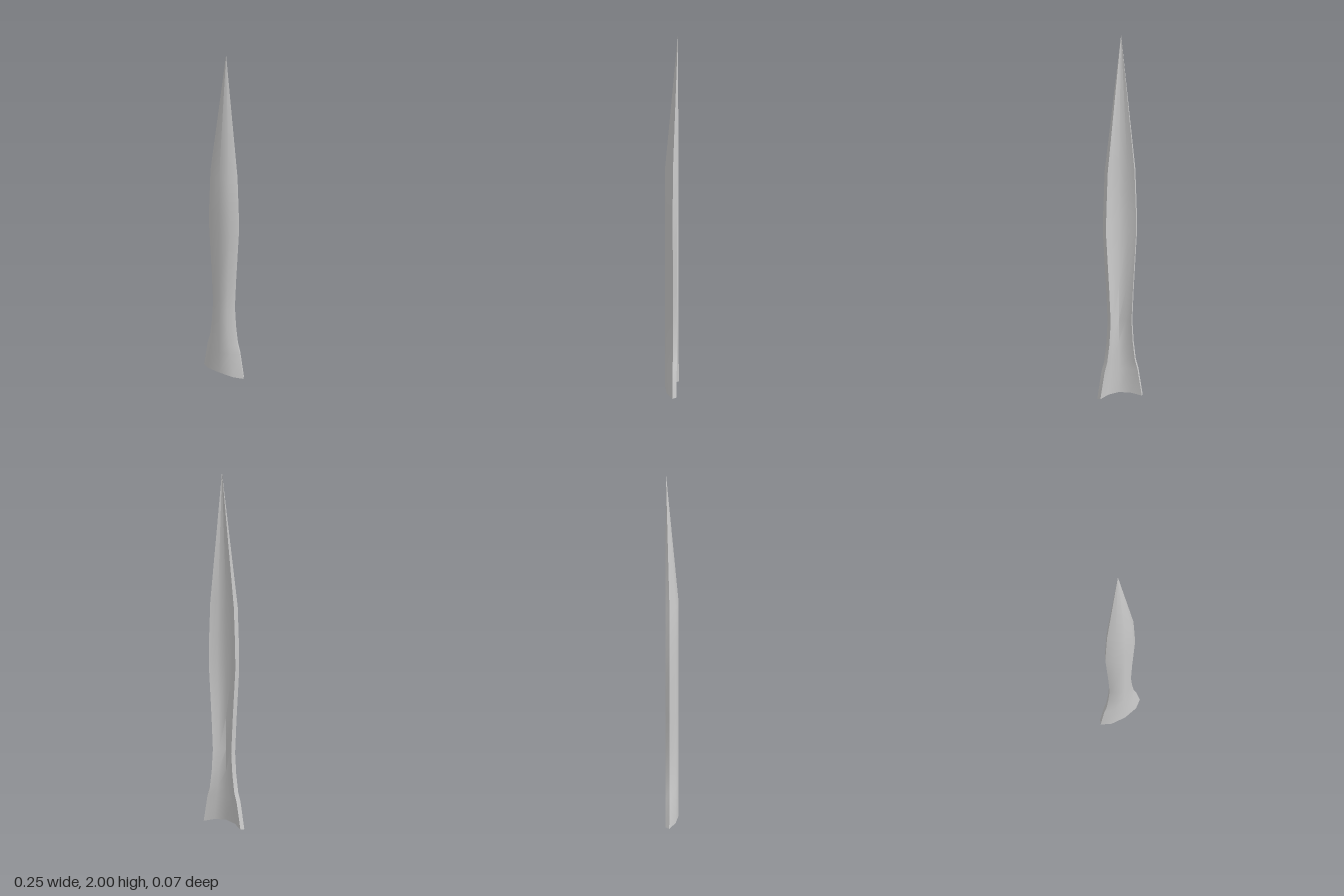
import * as THREE from 'three';
import { toCreasedNormals } from 'three/addons/utils/BufferGeometryUtils.js';

// height and half width of each cross-section, from flared base to shoulder and tip
const SECTIONS = [
  [0, 0.123], [0.15, 0.1], [0.2, 0.086], [0.3, 0.074], [0.42, 0.067],
  [0.6, 0.075], [0.9, 0.092], [1.02, 0.091], [1.25, 0.083], [2, 0.0003],
];
const BACK = -0.034;

// closed outline: ridged front, bevelled edges, hollow back
function outline(w, s) {
  const rim = w - 0.011 * s;
  const half = [[w, -0.012], [w * 0.63, 0.02], [0, 0.033]];
  const hollow = [[rim, -0.033], [w * 0.5, -0.006], [0, 0.008]];
  const mirror = ([x, z]) => [-x, z];
  return [
    ...half, mirror(half[1]), mirror(half[0]),
    mirror(hollow[0]), mirror(hollow[1]), hollow[2], hollow[1], hollow[0],
  ].map(([x, z]) => [x, BACK + (z - BACK) * s]);
}

function bladeGeometry() {
  const positions = [], index = [], n = 10;
  SECTIONS.forEach(([y, w], i) => {
    // depth narrows to the back plane above the shoulder
    const s = Math.max(0.003, Math.min(1, (2 - y) / 0.75));
    for (const [x, z] of outline(w, s)) {
      const arch = i === 0 ? 0.02 * (1 - (x / w) ** 2) : 0;
      positions.push(x, y + arch, z);
    }
  });
  for (let i = 0; i < SECTIONS.length - 1; i++) {
    for (let j = 0; j < n; j++) {
      const a = i * n + j, b = i * n + (j + 1) % n;
      index.push(a, a + n, b, b, a + n, b + n);
    }
  }
  // base cap between the front outline and the hollow
  for (let k = 0; k < 4; k++) {
    index.push(k, k + 1, 9 - k, k + 1, 8 - k, 9 - k);
  }
  const geometry = new THREE.BufferGeometry();
  geometry.setAttribute('position', new THREE.Float32BufferAttribute(positions, 3));
  geometry.setIndex(index);
  return toCreasedNormals(geometry, 0.75);
}

export function createModel() {
  const group = new THREE.Group();
  const material = new THREE.MeshStandardMaterial({ color: 0xcccccc, side: THREE.DoubleSide });
  const blade = new THREE.Mesh(bladeGeometry(), material);
  blade.name = 'blade';
  group.add(blade);
  return group;
}
